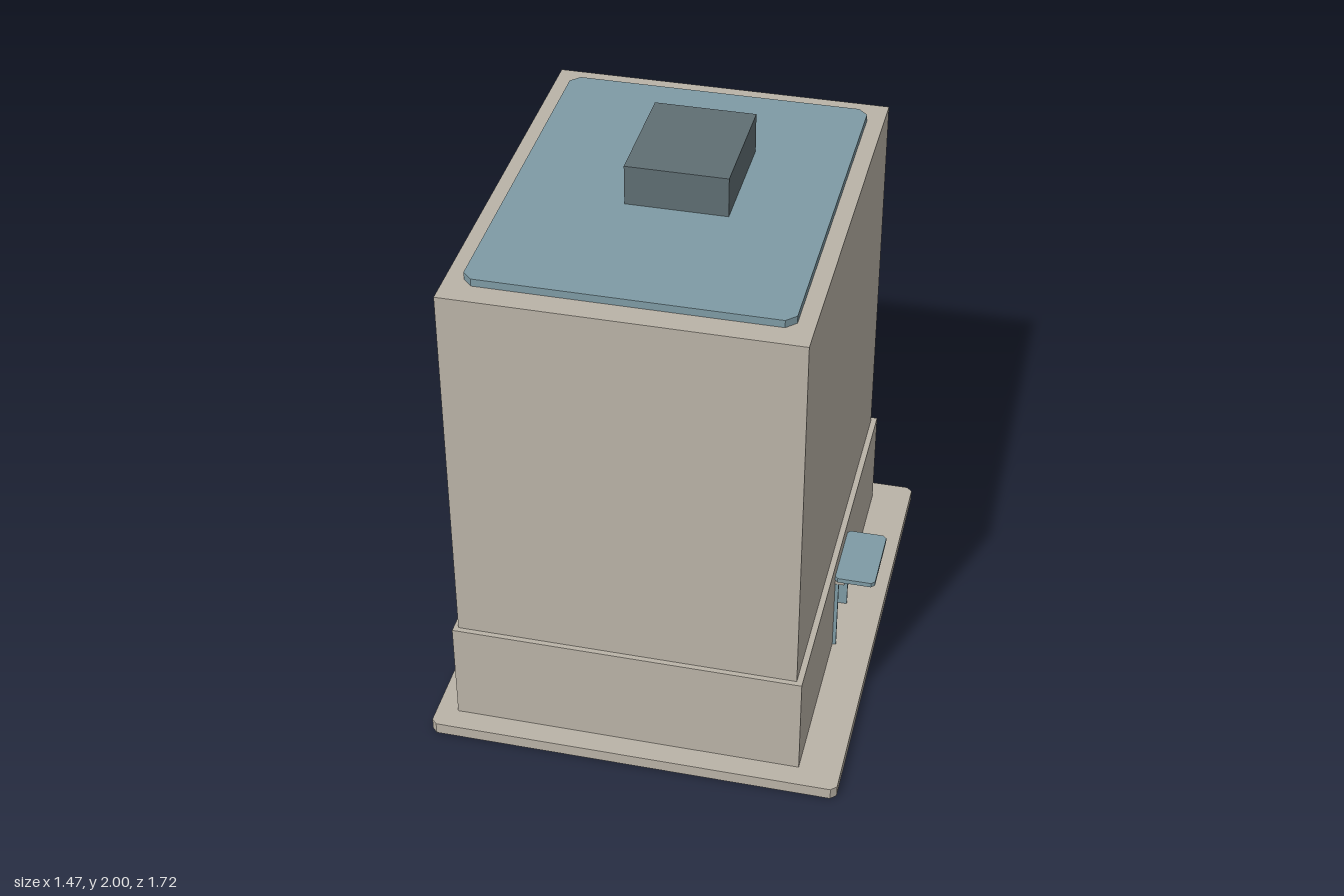
import * as THREE from 'three';

const beige = new THREE.MeshStandardMaterial({ color: 0xbab3a7 });
beige.name = 'beige stone';
const blue = new THREE.MeshStandardMaterial({ color: 0x7f9ba5 });
blue.name = 'blue roofing';
const slate = new THREE.MeshStandardMaterial({ color: 0x5f6e73 });
slate.name = 'slate grey';

export function createModel() {
  const model = new THREE.Group();
  model.name = 'building';

  const add = (name, geometry, material) => {
    const mesh = new THREE.Mesh(geometry, material);
    mesh.name = name;
    model.add(mesh);
    return mesh;
  };

  // Box given by its limits on each axis
  const box = (name, material, [x0, x1], [y0, y1], [z0, z1]) => {
    const g = new THREE.BoxGeometry(x1 - x0, y1 - y0, z1 - z0);
    g.translate((x0 + x1) / 2, (y0 + y1) / 2, (z0 + z1) / 2);
    return add(name, g, material);
  };

  // Extrudes a plan outline of [x, z] points upward from y0 to y1
  const prism = (name, material, outline, [y0, y1]) => {
    const shape = new THREE.Shape(outline.map(([x, z]) => new THREE.Vector2(x, -z)));
    const g = new THREE.ExtrudeGeometry(shape, { depth: y1 - y0, bevelEnabled: false });
    g.rotateX(-Math.PI / 2);
    g.translate(0, y0, 0);
    return add(name, g, material);
  };

  // Slab with cut corners in plan
  const slab = (name, material, [x0, x1], y, [z0, z1], c) => prism(name, material, [
    [x0 + c, z1], [x1 - c, z1], [x1, z1 - c], [x1, z0 + c],
    [x1 - c, z0], [x0 + c, z0], [x0, z0 + c], [x0, z1 - c],
  ], y);

  slab('basePlinth', beige, [-0.735, 0.735], [0, 0.043], [-0.86, 0.857], 0.02);

  // Hollow ground floor, its wall open at the doorway
  const [x0, x1, z0, z1, t, d] = [-0.658, 0.587, -0.779, 0.775, 0.04, 0.12];
  prism('groundFloorWalls', beige, [
    [x1, d], [x1, z1], [x0, z1], [x0, z0], [x1, z0], [x1, -d],
    [x1 - t, -d], [x1 - t, z0 + t], [x0 + t, z0 + t],
    [x0 + t, z1 - t], [x1 - t, z1 - t], [x1 - t, d],
  ].reverse(), [0.043, 0.43]);
  box('wallAboveDoor', beige, [x1 - t, x1], [0.335, 0.43], [-d, d]);

  box('upperFloors', beige, [-0.641, 0.566], [0.43, 1.828], [-0.761, 0.756]);

  // Roof
  slab('roofPanel', blue, [-0.578, 0.506], [1.828, 1.855], [-0.675, 0.669], 0.033);
  box('roofHousing', slate, [-0.18, 0.175], [1.855, 2], [-0.31, 0.123]);

  // Entrance
  for (const side of [-1, 1]) {
    const post = [side * 0.112, side * 0.121].sort((a, b) => a - b);
    box(side > 0 ? 'frontDoorJamb' : 'rearDoorJamb', blue, [0.545, 0.6], [0.043, 0.335], post);
  }
  box('doorLintel', beige, [0.58, 0.62], [0.335, 0.359], [-0.12, 0.12]);
  slab('doorCanopy', blue, [0.585, 0.733], [0.359, 0.377], [-0.141, 0.136], 0.013);

  return model;
}
